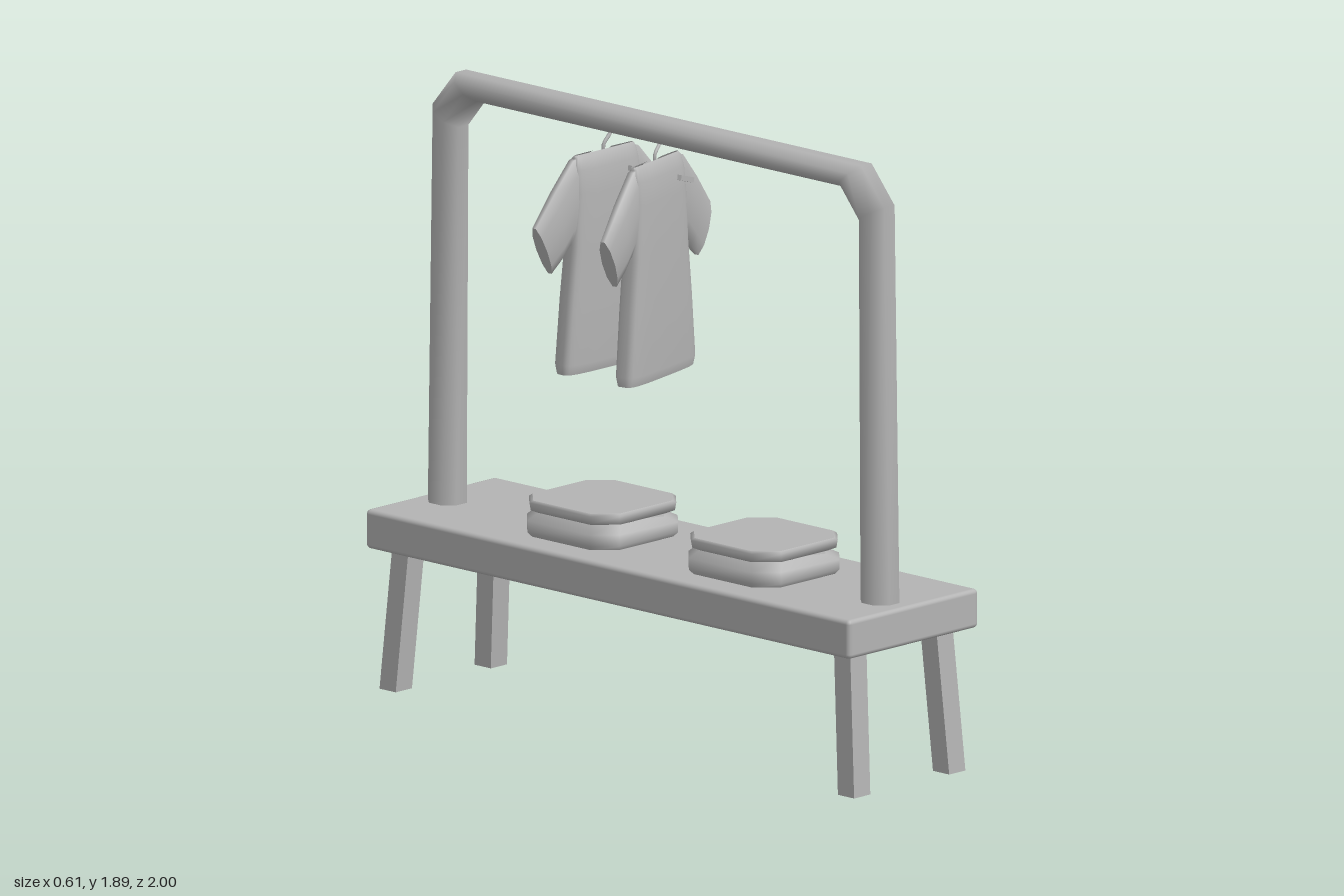
import * as THREE from 'three';
import { RoundedBoxGeometry } from 'three/addons/geometries/RoundedBoxGeometry.js';

const grey = new THREE.MeshStandardMaterial({ color: 0xb3b3b3, side: THREE.DoubleSide });
grey.name = 'plain grey';
const V = (x, y, z) => new THREE.Vector3(x, y, z);

function add(parent, geometry, name) {
  const mesh = new THREE.Mesh(geometry, grey);
  mesh.name = name;
  parent.add(mesh);
  return mesh;
}

// Skin through equal-length rings, each anticlockwise seen from the loft's far end
function loft(rings, { closed = true, caps = false } = {}) {
  const n = rings[0].length, pos = [], index = [];
  const push = (p) => pos.push(p.x, p.y, p.z);
  rings.forEach((r) => r.forEach(push));
  for (let i = 0; i < rings.length - 1; i++) {
    for (let j = 0; j < (closed ? n : n - 1); j++) {
      const a = i * n + j, b = i * n + (j + 1) % n;
      index.push(a, b, b + n, a, b + n, a + n);
    }
  }
  if (caps) {
    [rings[0].slice().reverse(), rings[rings.length - 1]].forEach((r) => {
      const base = pos.length / 3;
      r.forEach(push);
      for (let j = 1; j < n - 1; j++) index.push(base, base + j, base + j + 1);
    });
  }
  const g = new THREE.BufferGeometry();
  g.setAttribute('position', new THREE.Float32BufferAttribute(pos, 3));
  g.setIndex(index);
  g.computeVertexNormals();
  return g;
}

// Ellipse between points p and q, with the given half-width vector
function ovalRing(p, q, half, sides) {
  const c = p.clone().add(q).multiplyScalar(0.5), v = p.clone().sub(c);
  return Array.from({ length: sides }, (_, i) => {
    const t = (i + 0.5) / sides * Math.PI * 2;
    const k = 1 / Math.cos(Math.PI / sides);
    return c.clone().addScaledVector(v, Math.cos(t) * k).addScaledVector(half, Math.sin(t) * k);
  });
}

function tube(points, radius, curved) {
  let path;
  if (curved) path = new THREE.CatmullRomCurve3(points);
  else {
    path = new THREE.CurvePath();
    for (let i = 1; i < points.length; i++) path.add(new THREE.LineCurve3(points[i - 1], points[i]));
  }
  return new THREE.TubeGeometry(path, 16, radius, 6);
}

// Splayed square leg
function makeLeg(parent, sx, sz) {
  const g = new THREE.BoxGeometry(0.07, 0.46, 0.067);
  const p = g.attributes.position;
  for (let i = 0; i < p.count; i++) {
    const up = p.getY(i) > 0 ? 1 : 0;
    p.setXYZ(i, p.getX(i) - 0.018 + sx * (0.205 - 0.02 * up), up * 0.46,
      p.getZ(i) + sz * (0.947 - 0.036 * up));
  }
  g.computeVertexNormals();
  add(parent, g, 'benchLeg');
}

// Arched rail: outer and inner edge of the tube at each bend
function makeRail(parent) {
  const half = [
    [0.953, 0.54, 0.835, 0.54], [0.933, 1.775, 0.828, 1.72], [0.838, 1.888, 0.752, 1.812],
  ];
  const other = half.map(([a, b, c, d]) => [-a, b, -c, d]).reverse();
  const rings = [...half, ...other].map(([oz, oy, iz, iy]) =>
    ovalRing(V(-0.056, oy, oz), V(-0.056, iy, iz), V(0.054, 0, 0), 8));
  add(parent, loft(rings, { caps: true }), 'rail');
}

// Layer of folded cloth with chamfered corners; profile rows are [inset, y, droop at +x]
function clothLayer(profile) {
  const rings = profile.map(([inset, y, droop]) => {
    const a = 0.188 - inset, b = 0.192 - inset, c = 0.062;
    return [[a - c, b], [a, b - c], [a, c - b], [a - c, -b], [c - a, -b], [-a, c - b], [-a, b - c], [c - a, b]]
      .map(([x, z]) => V(x, y - (x > 0 ? droop : 0), z));
  });
  return loft(rings, { caps: true });
}

function makeStack(parent, z) {
  const stack = new THREE.Group();
  stack.name = 'foldedClothes';
  stack.position.set(-0.022, 0, z);
  add(stack, clothLayer([[0.012, 0.553, 0], [0, 0.57, 0], [0, 0.605, 0.005], [0.03, 0.638, 0.02]]), 'lowerGarment');
  add(stack, clothLayer([[0.025, 0.628, 0], [0.007, 0.637, 0], [0.004, 0.66, 0], [0.012, 0.667, 0]]), 'upperGarment');
  parent.add(stack);
}

// Open-fronted shirt on a hanger, with its opening towards -z
function makeShirt(parent, x, z, yaw, hookX) {
  const shirt = new THREE.Group();
  shirt.name = 'hangingShirt';
  shirt.position.set(x, 0, z);
  shirt.rotation.y = yaw;

  // Body: C-shaped sections from hem to shoulder as [y, half width, half depth]
  const power = (v) => Math.sign(v) * Math.sqrt(Math.abs(v));
  const sections = [[1.07, 0.185, 0.036], [1.1, 0.188, 0.044], [1.3, 0.168, 0.043], [1.46, 0.148, 0.042],
    [1.62, 0.14, 0.038], [1.69, 0.137, 0.03], [1.725, 0.13, 0.018], [1.733, 0.125, 0.005]];
  const rings = sections.map(([y, w, d]) => Array.from({ length: 29 }, (_, i) => {
    const t = (i / 14 - 1) * (Math.PI - 0.1);
    return V(w * power(Math.sin(t)), y, d * power(Math.cos(t)));
  }));
  add(shirt, loft(rings, { closed: false }), 'shirtBody');

  for (const s of [1, -1]) {
    // Sleeve: upper and lower edge with half depth
    const sleeve = [[0.11, 1.728, 0.12, 1.47, 0.02], [0.14, 1.72, 0.155, 1.462, 0.03],
      [0.22, 1.635, 0.185, 1.43, 0.03], [0.3, 1.54, 0.232, 1.39, 0.022]]
      .map(([px, py, qx, qy, d]) => ovalRing(V(s * px, py, 0), V(s * qx, qy, 0), V(0, 0, s * d), 10));
    add(shirt, loft(sleeve, { caps: true }), 'sleeve');
    add(shirt, tube([V(0, 1.72, 0), V(s * 0.12, 1.66, 0)], 0.007), 'hangerArm');
  }

  // Hanger shoulder showing through the back of the shirt
  const peg = add(shirt, new THREE.BoxGeometry(0.075, 0.016, 0.02), 'hangerTip');
  peg.position.set(0.108, 1.655, 0.036);
  peg.rotation.z = -0.3;

  const hook = [V(0, 1.71, 0), V(hookX - 0.02, 1.745, 0), V(hookX + 0.012, 1.785, 0), V(hookX - 0.012, 1.83, 0), V(hookX - 0.06, 1.84, 0)];
  add(shirt, tube(hook, 0.006, true), 'hangerHook');
  parent.add(shirt);
}

export function createModel() {
  const model = new THREE.Group();
  model.name = 'clothesRackBench';

  const seat = add(model, new RoundedBoxGeometry(0.56, 0.12, 2, 2, 0.014), 'benchTop');
  seat.position.set(-0.02, 0.496, 0);
  for (const sx of [1, -1]) for (const sz of [1, -1]) makeLeg(model, sx, sz);

  makeRail(model);
  makeStack(model, 0.382);
  makeStack(model, -0.285);
  makeShirt(model, 0.008, -0.095, 0.21, 0.015);
  makeShirt(model, -0.004, -0.298, 0, 0.02);
  return model;
}
